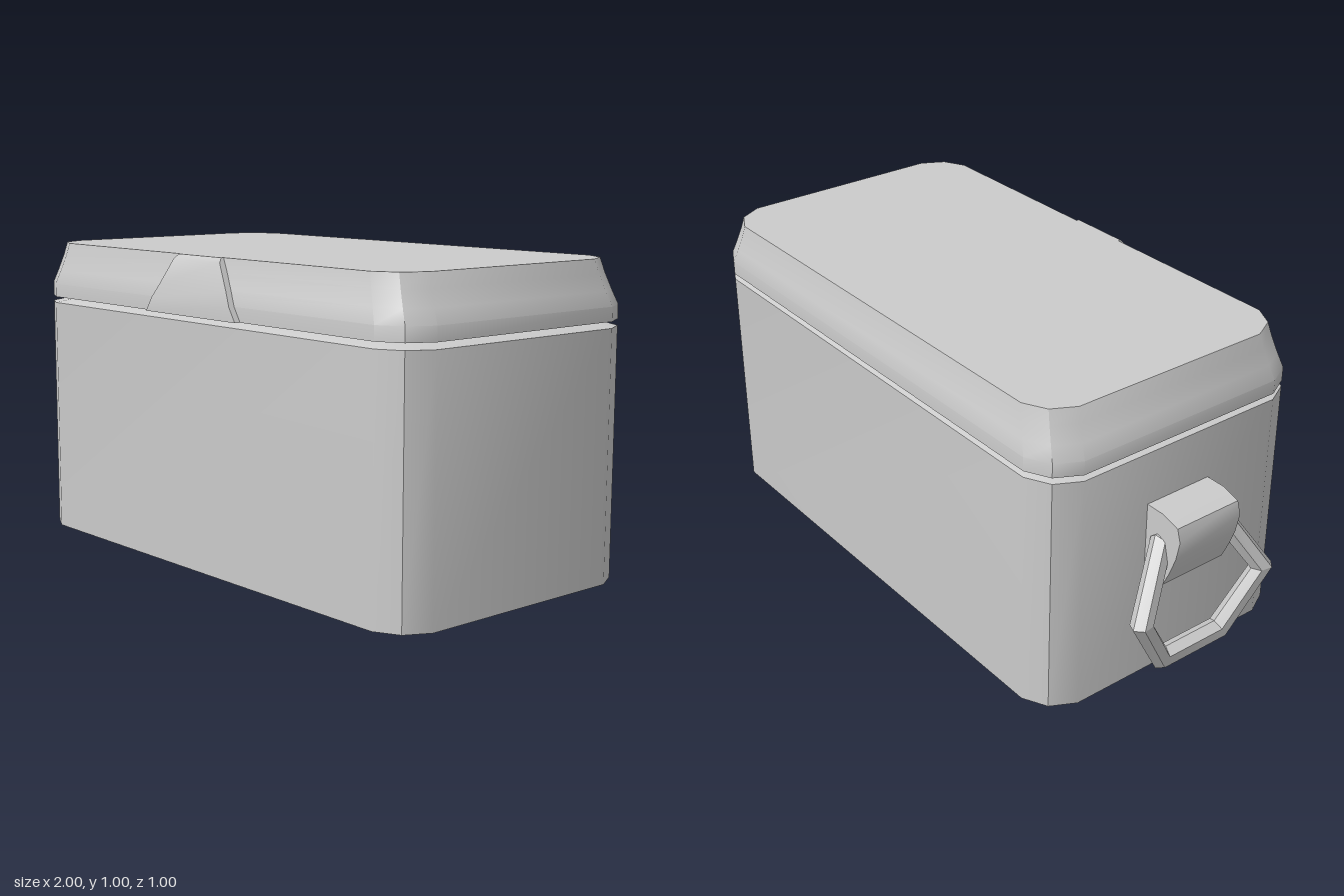
import * as THREE from 'three';
import { toCreasedNormals } from 'three/addons/utils/BufferGeometryUtils.js';

const material = new THREE.MeshStandardMaterial({ color: 0xcccccc });

// Skin a list of equal-sized rings; either cap both ends or join last to first.
function loft(rings, { wrap = false, crease = 0.55 } = {}) {
  const pos = [];
  const tri = (...ps) => ps.forEach((p) => pos.push(p.x, p.y, p.z));
  const n = rings[0].length;
  const last = wrap ? rings.length : rings.length - 1;
  for (let i = 0; i < last; i++) {
    const lower = rings[i];
    const upper = rings[(i + 1) % rings.length];
    for (let j = 0; j < n; j++) {
      const k = (j + 1) % n;
      tri(lower[j], lower[k], upper[k]);
      tri(lower[j], upper[k], upper[j]);
    }
  }
  if (!wrap) {
    const bottom = rings[0];
    const top = rings[rings.length - 1];
    for (let j = 1; j < n - 1; j++) {
      tri(bottom[0], bottom[j + 1], bottom[j]);
      tri(top[0], top[j], top[j + 1]);
    }
  }
  const g = new THREE.BufferGeometry();
  g.setAttribute('position', new THREE.Float32BufferAttribute(pos, 3));
  return toCreasedNormals(g, crease);
}

function add(group, name, geometry) {
  const mesh = new THREE.Mesh(geometry, material);
  mesh.name = name;
  group.add(mesh);
}

// Rectangle with two-step chamfered corners, scaled about the box centre.
const CX = 0.078, CZ = -0.01, HX = 0.922, HZ = 0.49;
function boxRing(y, scale) {
  const corner = [[HX, HZ - 0.12], [HX - 0.042, HZ - 0.04], [HX - 0.12, HZ]];
  const flip = [...corner].reverse();
  const outline = [
    ...corner.map(([x, z]) => [x, -z]),
    ...flip.map(([x, z]) => [-x, -z]),
    ...corner.map(([x, z]) => [-x, z]),
    ...flip.map(([x, z]) => [x, z]),
  ];
  return outline.map(([x, z]) => new THREE.Vector3(CX + x * scale, y, CZ + z * scale));
}

export function createModel() {
  const group = new THREE.Group();
  group.name = 'lidded box';

  // Body with a sloped shoulder under the lid
  add(group, 'body', loft([[0, 1], [0.79, 1], [0.81, 0.91]].map(([y, s]) => boxRing(y, s))));

  // Lid with a gently hollow flare
  const lid = [[0.81, 1], [0.855, 1], [0.9, 0.978], [0.95, 0.956], [0.995, 0.94]];
  add(group, 'lid', loft(lid.map(([y, s]) => boxRing(y, s))));

  // Trapezoid latch plate following the lid profile: y, front z
  const latch = [[0.81, 0.5], [0.855, 0.5], [0.9, 0.489], [0.98, 0.473], [0.995, 0.46]];
  add(group, 'latch', loft(latch.map(([y, z]) => {
    const t = (y - 0.81) / 0.185;
    const l = -0.155 + 0.125 * t;
    const r = 0.3 - 0.115 * t;
    const back = 0.42;
    return [[l, z], [r, z], [r, back], [l, back]].map(([x, zz]) => new THREE.Vector3(x, y, zz));
  })));

  // Handle mount: side profile extruded across the end wall
  const profile = [
    [-0.83, 0.375], [-0.83, 0.615], [-0.91, 0.615], [-0.972, 0.597],
    [-0.985, 0.555], [-0.972, 0.49], [-0.95, 0.43], [-0.925, 0.375],
  ].map(([x, y]) => new THREE.Vector2(x, y));
  const mount = new THREE.ExtrudeGeometry(new THREE.Shape(profile), { depth: 0.24, bevelEnabled: false });
  mount.translate(0, 0, -0.135);
  add(group, 'handleMount', toCreasedNormals(mount, 0.55));

  // Six-sided pull ring, bent outward at its widest point
  const path = [
    [-0.897, 0.505, -0.125], [-0.966, 0.305, -0.25], [-0.925, 0.1, -0.125],
    [-0.925, 0.1, 0.115], [-0.966, 0.305, 0.24], [-0.897, 0.505, 0.115],
  ].map((p) => new THREE.Vector3(...p));
  const centre = new THREE.Vector3(-0.93, 0.303, -0.005);
  const rings = path.map((p, i) => {
    const dirIn = p.clone().sub(path[(i + 5) % 6]).normalize();
    const dirOut = path[(i + 1) % 6].clone().sub(p).normalize();
    const t = dirIn.add(dirOut).normalize();
    const out = p.clone().sub(centre);
    out.addScaledVector(t, -out.dot(t)).normalize();
    const side = t.clone().cross(out);
    return Array.from({ length: 6 }, (_, j) => {
      const a = (j / 6) * Math.PI * 2;
      return p.clone()
        .addScaledVector(out, 0.038 * Math.cos(a))
        .addScaledVector(side, 0.034 * Math.sin(a));
    });
  });
  add(group, 'pullRing', loft(rings, { wrap: true, crease: 0.3 }));

  return group;
}
